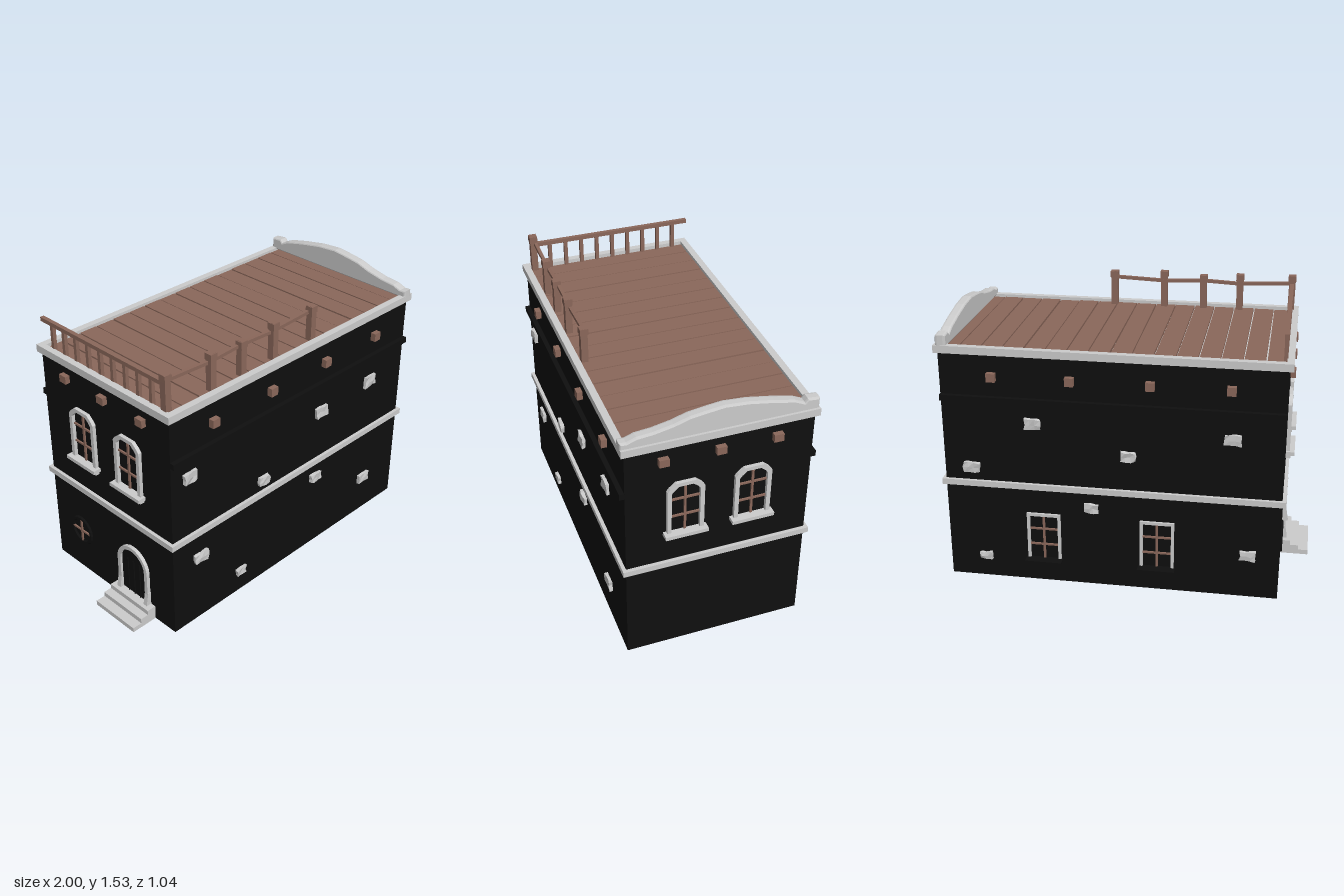
import * as THREE from 'three';

const mat = (color, extra = {}) => new THREE.MeshStandardMaterial({ color, flatShading: true, ...extra });
const grey = mat(0xcccccc);
const brown = mat(0x8a675a);
const black = mat(0x0f0f0f, { side: THREE.DoubleSide });

// wall planes
const X0 = -0.845, X1 = 0.95, Z0 = -0.467, Z1 = 0.488, H = 1.3;
const CX = (X0 + X1) / 2, CZ = (Z0 + Z1) / 2;

let seed = 7;
const rand = () => (seed = (seed * 16807) % 2147483647) / 2147483647;

function add(parent, name, geometry, material, x = 0, y = 0, z = 0) {
  const mesh = new THREE.Mesh(geometry, material);
  mesh.name = name;
  mesh.position.set(x, y, z);
  parent.add(mesh);
  return mesh;
}
const box = (parent, name, material, w, h, d, x, y, z) =>
  add(parent, name, new THREE.BoxGeometry(w, h, d), material, x, y, z);

// bar between two points
function bar(parent, name, a, b, t) {
  const A = new THREE.Vector3(...a), B = new THREE.Vector3(...b);
  const m = box(parent, name, brown, t, t, A.distanceTo(B), 0, 0, 0);
  m.position.copy(A).add(B).multiplyScalar(0.5);
  m.lookAt(B);
}

// group whose local +z points out of a wall
function wallGroup(parent, name, x, y, z, turn) {
  const g = new THREE.Group();
  g.name = name;
  g.position.set(x, y, z);
  g.rotation.y = turn;
  parent.add(g);
  return g;
}

const poly = pts => pts.map(p => new THREE.Vector2(...p));
function framed(outer, inner, depth) {
  const s = new THREE.Shape(poly(outer));
  if (inner) s.holes.push(new THREE.Path(poly(inner)));
  return new THREE.ExtrudeGeometry(s, { depth, bevelEnabled: false });
}
const rect = (x0, y0, x1, y1) => [[x0, y0], [x1, y0], [x1, y1], [x0, y1]];

// moulding running around all four walls
function trim(parent, name, y, h) {
  const o = 0.019, i = -0.018;
  const r = d => rect(X0 - d, -(Z1 + d), X1 + d, -(Z0 - d));
  add(parent, name, framed(r(o), r(i), h), grey, 0, y, 0).rotation.x = -Math.PI / 2;
}

function muntins(g, w, y0, y1) {
  box(g, 'muntinUpright', brown, 0.012, y1 - y0, 0.014, 0, (y0 + y1) / 2, 0.002);
  for (const t of [0.33, 0.7])
    box(g, 'muntinCrossbar', brown, w, 0.01, 0.014, 0, y0 + (y1 - y0) * t, 0.002);
}

function archedWindow(parent, x, z, turn) {
  const g = wallGroup(parent, 'archedWindow', x, 0, z, turn);
  const outline = (w, top, c) => [[-w, 0.77], [w, 0.77], [w, top - c], [w - c * 0.3, top - c * 0.6],
    [w - c, top], [c - w, top], [c * 0.3 - w, top - c * 0.6], [-w, top - c]];
  add(g, 'windowFrame', framed(outline(0.095, 1.077, 0.045), outline(0.073, 1.057, 0.037), 0.035), grey, 0, 0, -0.015);
  box(g, 'windowSill', grey, 0.2, 0.022, 0.05, 0, 0.747, 0);
  box(g, 'windowSillTop', grey, 0.222, 0.02, 0.075, 0, 0.765, 0.008);
  muntins(g, 0.146, 0.775, 1.057);
}

function squareWindow(parent, x) {
  const g = wallGroup(parent, 'squareWindow', x, 0, Z0, Math.PI);
  add(g, 'windowFrame', framed(rect(-0.092, 0.14, 0.092, 0.41), rect(-0.076, 0.14, 0.076, 0.394), 0.028), grey, 0, 0, -0.015);
  box(g, 'windowSill', black, 0.2, 0.014, 0.08, 0, 0.135, 0.018);
  muntins(g, 0.152, 0.142, 0.394);
}

// rough stone showing in a wall
function stone(parent, x, y, w, h, z) {
  const g = new THREE.BoxGeometry(w, h, 0.036, 3, 2, 1);
  const p = g.attributes.position, moved = {};
  for (let i = 0; i < p.count; i++) {
    const k = [p.getX(i), p.getY(i), p.getZ(i)].map(v => v.toFixed(4)).join();
    moved[k] ??= [rand(), rand(), rand()].map(v => v - 0.5);
    const [a, b, c] = moved[k];
    p.setXYZ(i, p.getX(i) * 0.95 + a * 0.012, p.getY(i) * 0.95 + b * 0.01, p.getZ(i) + c * 0.008);
  }
  g.computeVertexNormals();
  add(parent, 'wallStone', g, grey, x, y, z);
}

function entrance(parent) {
  const g = wallGroup(parent, 'entrance', X0, 0, 0.185, -Math.PI / 2);
  const arch = (r, spring, foot) => {
    const pts = [[-r, foot], [r, foot]];
    for (let i = 0; i <= 12; i++) {
      const a = Math.PI * i / 12;
      pts.push([r * Math.cos(a), spring + r * Math.sin(a)]);
    }
    return pts;
  };
  add(g, 'doorFrame', framed(arch(0.116, 0.28, 0.08), arch(0.094, 0.28, 0.08), 0.04), grey, 0, 0, -0.02);
  add(g, 'doorPanel', framed(arch(0.094, 0.28, 0.08), null, 0.02), black, 0, 0, -0.014);
  for (const x of [-0.045, 0, 0.045]) box(g, 'doorBatten', black, 0.006, 0.22, 0.012, x, 0.19, 0.006);
  for (const s of [-1, 1]) {
    const foot = framed([[0, 0.08], [0.032, 0.08], [0.018, 0.16], [0, 0.16]], null, 0.026);
    add(g, 'doorFoot', foot, grey, s * 0.106 + 0.013, 0, 0).rotation.y = -Math.PI / 2;
  }
  [0.155, 0.1, 0.053].forEach((d, i) => box(g, 'step', grey, 0.3, 0.027, d, 0, 0.0135 + i * 0.027, d / 2));
}

export function createModel() {
  const model = new THREE.Group();
  model.name = 'house';

  // walls, open underneath
  const walls = framed(rect(X0, -Z1, X1, -Z0), rect(X0 + 0.004, -Z1 + 0.004, X1 - 0.004, -Z0 - 0.004), H);
  add(model, 'walls', walls, black).rotation.x = -Math.PI / 2;
  trim(model, 'middleTrim', 0.553, 0.032);
  trim(model, 'roofTrim', 1.298, 0.04);
  for (const z of [Z0, Z1]) box(model, 'wallBand', black, X1 - X0, 0.032, 0.05, CX, 1.055, z);

  // roof deck with planks
  box(model, 'roofDeck', grey, X1 - X0 - 0.01, 0.008, Z1 - Z0 - 0.01, CX, 1.3, CZ);
  for (let i = 0; i < 16; i++) {
    const a = Math.max(-0.838 + i * 0.1123, X0 + 0.02), b = Math.min(-0.838 + (i + 1) * 0.1123, 0.925);
    const m = box(model, 'roofPlank', brown, b - a - 0.007, 0.016, 0.918, (a + b) / 2, 1.312 + rand() * 0.004, CZ);
    m.rotation.y = (rand() - 0.5) * 0.006;
  }

  // worn parapet on the left end
  const ridge = [[-0.508, 1.335], [0.482, 1.335], [0.482, 1.385], [0.43, 1.39], [0.415, 1.37], [0.36, 1.395],
    [0.25, 1.42], [0.12, 1.443], [0, 1.452], [-0.1, 1.44], [-0.17, 1.43], [-0.25, 1.405], [-0.35, 1.385],
    [-0.43, 1.378], [-0.48, 1.36], [-0.508, 1.362]].map(([x, y]) => [x * 0.985, y]);
  const parapet = new THREE.ExtrudeGeometry(new THREE.Shape(poly(ridge)),
    { depth: 0.03, bevelThickness: 0.013, bevelSize: 0.008, bevelSegments: 2 });
  add(model, 'wornParapet', parapet, grey, 0.913, 0, 0).rotation.y = Math.PI / 2;

  // front railing
  const posts = [[-0.82, 1.53], [-0.53, 1.525], [-0.325, 1.512], [-0.1, 1.527], [0.185, 1.517]];
  const railY = [1.487, 1.473, 1.483, 1.473, 1.485, 1.467];
  posts.forEach(([x, top], i) => {
    const m = box(model, 'railingPost', brown, 0.036, top - 1.3, 0.036, x, (top + 1.3) / 2, 0.445);
    m.rotation.z = (rand() - 0.5) * 0.04;
    box(model, 'postCap', brown, 0.043, 0.035, 0.043, x, top - 0.018, 0.445);
    if (i) bar(model, 'frontRail', [posts[i - 1][0], railY[i - 1], 0.435], [x, railY[i], 0.435], 0.018);
  });

  // side railing
  bar(model, 'sideRail', [-0.82, 1.475, 0.44], [-0.82, 1.475, -0.475], 0.022);
  for (let i = 0; i < 9; i++)
    box(model, 'baluster', brown, 0.02, 0.165, 0.02, -0.82, 1.39, 0.35 - i * 0.0925);

  // beam ends
  for (const x of [-0.565, -0.155, 0.26, 0.67])
    for (const z of [Z0, Z1]) box(model, 'beamEnd', brown, 0.046, 0.046, 0.06, x, 1.18, z);
  for (const z of [0.3, 0.015, -0.275])
    for (const x of [X0, X1]) box(model, 'beamEnd', brown, 0.055, 0.042, 0.05, x, 1.222, z);

  // windows and door
  for (const z of [0.187, -0.16]) {
    archedWindow(model, X1, z, Math.PI / 2);
    archedWindow(model, X0, z, -Math.PI / 2);
  }
  for (const x of [-0.195, 0.42]) squareWindow(model, x);
  const round = wallGroup(model, 'roundWindow', X0, 0.265, -0.25, -Math.PI / 2);
  add(round, 'roundFrame', new THREE.TorusGeometry(0.077, 0.012, 6, 20), black);
  box(round, 'roundUpright', brown, 0.01, 0.14, 0.014, 0, 0, 0.002);
  box(round, 'roundCrossbar', brown, 0.14, 0.01, 0.014, 0, 0, 0.002);
  entrance(model);

  // stones showing through the plaster: x, y, width, height
  const front = [[-0.725, 0.935, 0.09, 0.06], [0.245, 0.88, 0.09, 0.06], [0.66, 0.9, 0.09, 0.065],
    [-0.2, 0.65, 0.08, 0.055], [0.225, 0.46, 0.085, 0.05], [-0.66, 0.405, 0.09, 0.06],
    [0.665, 0.235, 0.09, 0.06], [-0.365, 0.135, 0.07, 0.042]];
  const back = [[0.463, 0.93, 0.09, 0.06], [0.805, 0.66, 0.09, 0.06], [-0.04, 0.78, 0.085, 0.055],
    [-0.58, 0.91, 0.09, 0.06], [0.16, 0.465, 0.085, 0.05], [0.747, 0.13, 0.07, 0.042], [-0.68, 0.25, 0.09, 0.06]];
  for (const s of front) stone(model, ...s, Z1);
  for (const s of back) stone(model, ...s, Z0);
  return model;
}
